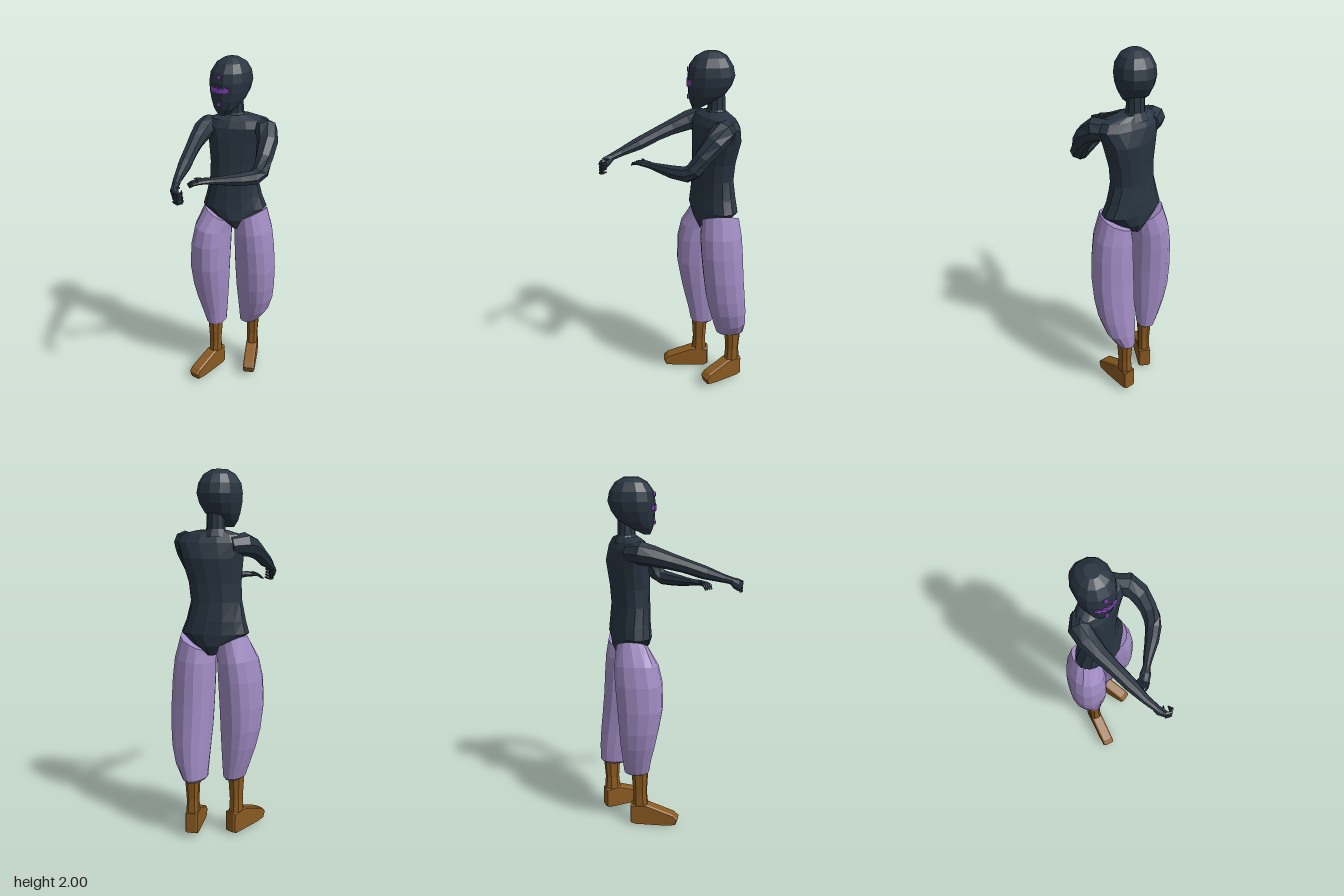
import * as THREE from 'three';

const mat = (name, color) => {
  const m = new THREE.MeshStandardMaterial({ color });
  m.name = name;
  return m;
};

// Skin a list of rings into a closed, faceted solid with capped ends
function loft(rings) {
  const n = rings[0].length, pos = [];
  const tri = (...p) => p.forEach((q) => pos.push(q.x, q.y, q.z));
  const middle = (r) => r.reduce((s, p) => s.add(p), new THREE.Vector3()).divideScalar(n);
  const first = rings[0], last = rings[rings.length - 1];
  const c0 = middle(first), c1 = middle(last);
  for (let j = 0; j < n; j++) {
    const k = (j + 1) % n;
    for (let i = 0; i < rings.length - 1; i++) {
      const a = rings[i], b = rings[i + 1];
      tri(a[j], a[k], b[k]);
      tri(a[j], b[k], b[j]);
    }
    tri(c0, first[k], first[j]);
    tri(c1, last[j], last[k]);
  }
  const g = new THREE.BufferGeometry();
  g.setAttribute('position', new THREE.Float32BufferAttribute(pos, 3));
  g.computeVertexNormals();
  return g;
}

// Level ring: a across, b front to back, turned by yaw degrees; tilt raises the +x side
function ring(y, cx, cz, a, b, { yaw = 0, n = 12, power = 1, tilt = 0 } = {}) {
  const w = THREE.MathUtils.degToRad(yaw), out = [];
  const bend = (v) => Math.sign(v) * Math.abs(v) ** power;
  for (let j = 0; j < n; j++) {
    const t = ((j + 0.5) / n) * Math.PI * 2;
    const u = a * bend(Math.sin(t)), f = b * bend(Math.cos(t));
    out.push(new THREE.Vector3(
      cx + u * Math.cos(w) + f * Math.sin(w),
      y + tilt * Math.sin(t),
      cz - u * Math.sin(w) + f * Math.cos(w)));
  }
  return out;
}

// Tapered limb along points [x, y, z, radius, flatness]
function limb(path, n = 8) {
  const pts = path.map((p) => new THREE.Vector3(p[0], p[1], p[2]));
  const up = new THREE.Vector3(0, 1, 0);
  return loft(path.map(([, , , r, flat = 1], i) => {
    const t = pts[Math.min(i + 1, pts.length - 1)].clone().sub(pts[Math.max(i - 1, 0)]).normalize();
    const u = up.clone().cross(t).normalize();
    const v = t.clone().cross(u);
    return Array.from({ length: n }, (_, j) => {
      const s = (j / n) * Math.PI * 2;
      return pts[i].clone().addScaledVector(u, r * Math.cos(s)).addScaledVector(v, r * flat * Math.sin(s));
    });
  }));
}

export function createModel() {
  const model = new THREE.Group();
  const suit = mat('dark suit', 0x283440);
  const cloth = mat('lilac cloth', 0xa18cc4);
  const leather = mat('brown leather', 0x8a5a20);
  const paint = mat('purple paint', 0x8b46c2);
  const add = (name, geometry, material, parent = model) => {
    const m = new THREE.Mesh(geometry, material);
    m.name = name;
    parent.add(m);
    return m;
  };

  // Torso, turned towards the model's left: y, cx, cz, half width, half depth, yaw
  add('torso', loft([
    [1.035, -0.015, -0.21, 0.03, 0.085, 30],
    [1.09, -0.02, -0.21, 0.11, 0.105, 30],
    [1.15, -0.03, -0.212, 0.185, 0.1, 30],
    [1.22, -0.035, -0.21, 0.16, 0.095, 33],
    [1.32, -0.035, -0.205, 0.137, 0.09, 38],
    [1.42, -0.03, -0.21, 0.14, 0.092, 38],
    [1.55, -0.02, -0.22, 0.165, 0.1, 35],
    [1.63, -0.01, -0.215, 0.185, 0.09, 28],
    [1.67, -0.01, -0.215, 0.16, 0.07, 28],
    [1.692, -0.025, -0.218, 0.08, 0.05, 28],
  ].map(([y, x, z, a, b, yaw]) => ring(y, x, z, a, b, { yaw, n: 14, power: 0.9 }))), suit);

  add('neck', loft([[1.66, 0.07], [1.7, 0.05], [1.8, 0.045]]
    .map(([y, r]) => ring(y, -0.045, -0.22, r, r, { n: 10 }))), suit);

  // Head, facing straight ahead: y, half width, front z, back z
  add('head', loft([
    [1.705, 0.025, -0.09, -0.13],
    [1.74, 0.058, -0.075, -0.2],
    [1.78, 0.08, -0.067, -0.265],
    [1.83, 0.097, -0.063, -0.3],
    [1.88, 0.104, -0.063, -0.316],
    [1.93, 0.098, -0.072, -0.305],
    [1.975, 0.074, -0.105, -0.275],
    [2.0, 0.035, -0.15, -0.23],
  ].map(([y, a, f, b]) => ring(y, -0.048, (f + b) / 2, a, (f - b) / 2, { power: 0.85 }))), suit);

  // Painted face marks: a ragged band and two dots
  const marks = new THREE.Group();
  marks.name = 'faceMarks';
  model.add(marks);
  for (let i = -4; i <= 4; i++) {
    const h = i % 2 ? 0.034 : 0.022;
    const bar = add('bandMark', new THREE.BoxGeometry(0.0135, h, 0.008), paint, marks);
    bar.position.set(-0.042 + i * 0.013, 1.842 + Math.abs(i) * 0.001, -0.063 - 0.0008 * i * i);
    bar.rotation.y = i * 0.09;
  }
  for (const [y, z] of [[1.912, -0.067], [1.768, -0.068]]) {
    const dot = add('dotMark', new THREE.CylinderGeometry(0.013, 0.013, 0.009, 8), paint, marks);
    dot.position.set(-0.042, y, z);
    dot.rotation.x = Math.PI / 2;
  }

  // Baggy trouser legs: y, low x, high x, front z, back z, tilt
  const trouser = (rows) => loft(rows.map(([y, x0, x1, f, b, tilt = 0]) =>
    ring(y, (x0 + x1) / 2, (f + b) / 2, (x1 - x0) / 2, (f - b) / 2, { n: 14, power: 0.88, tilt })));
  add('rightTrouser', trouser([
    [0.325, -0.165, -0.09, -0.115, -0.23],
    [0.34, -0.185, -0.08, -0.1, -0.245],
    [0.42, -0.212, -0.072, -0.085, -0.252],
    [0.52, -0.242, -0.063, -0.06, -0.26],
    [0.62, -0.262, -0.055, -0.038, -0.265],
    [0.75, -0.27, -0.05, -0.015, -0.272],
    [0.9, -0.265, -0.05, -0.018, -0.283],
    [1.0, -0.248, -0.053, -0.04, -0.287, -0.015],
    [1.1, -0.205, -0.045, -0.1, -0.275, -0.045],
  ]), cloth);
  add('leftTrouser', trouser([
    [0.325, -0.02, 0.06, -0.265, -0.395],
    [0.34, -0.033, 0.078, -0.245, -0.41],
    [0.42, -0.036, 0.135, -0.222, -0.415],
    [0.52, -0.036, 0.172, -0.195, -0.41],
    [0.62, -0.036, 0.19, -0.172, -0.4],
    [0.75, -0.035, 0.2, -0.155, -0.387],
    [0.9, -0.032, 0.195, -0.14, -0.377],
    [1.0, -0.03, 0.182, -0.135, -0.368, 0.015],
    [1.1, -0.02, 0.145, -0.142, -0.35, 0.045],
  ]), cloth);

  // Boots: a tapered shaft and a wedge foot
  const side = new THREE.Shape([
    [-0.05, 0.015], [-0.048, 0.12], [0.04, 0.125], [0.19, 0.068],
    [0.212, 0.045], [0.2, 0.012], [0.15, 0.005], [-0.03, 0.005],
  ].map(([z, y]) => new THREE.Vector2(z, y)));
  const footShape = new THREE.ExtrudeGeometry(side, {
    depth: 0.05, bevelEnabled: true, bevelThickness: 0.01, bevelSize: 0.006, bevelSegments: 1,
  });
  footShape.translate(0, 0, -0.025).rotateY(-Math.PI / 2);
  const shaft = loft([
    [0.09, 0.036, 0.05], [0.2, 0.034, 0.04], [0.37, 0.044, 0.052],
  ].map(([y, a, b]) => ring(y, 0, 0, a, b, { n: 8, power: 0.8 })));
  for (const [name, x, y, z, yaw, len] of [
    ['rightBoot', -0.13, 0, -0.155, -2, 1.03],
    ['leftBoot', 0.027, 0.02, -0.345, 28, 0.93],
  ]) {
    const boot = new THREE.Group();
    boot.name = name;
    boot.position.set(x, y, z);
    boot.rotation.y = THREE.MathUtils.degToRad(yaw);
    add('bootShaft', shaft, leather, boot);
    add('bootFoot', footShape, leather, boot).scale.z = len;
    model.add(boot);
  }

  // Right arm, stretched forwards across the body
  add('rightArm', limb([
    [-0.125, 1.615, -0.2, 0.05], [-0.16, 1.62, -0.13, 0.062], [-0.155, 1.605, -0.07, 0.056],
    [-0.13, 1.575, 0.02, 0.045], [-0.1, 1.546, 0.1, 0.039], [-0.062, 1.505, 0.2, 0.037],
    [-0.025, 1.468, 0.3, 0.024], [0, 1.45, 0.35, 0.02],
  ]), suit);
  add('rightPalm', limb([
    [-0.003, 1.452, 0.345, 0.019], [0.012, 1.432, 0.375, 0.022, 1.4],
    [0.035, 1.412, 0.398, 0.015, 2],
  ]), suit);
  for (let i = 0; i < 4; i++) {
    const y = 1.437 - i * 0.017;
    add('rightFinger', limb([
      [0.03, y, 0.4, 0.01], [0.06, y - 0.004, 0.407, 0.009],
      [0.073, y, 0.393, 0.008], [0.058 + i * 0.003, y + 0.004, 0.372, 0.004],
    ], 5), suit);
  }
  add('rightThumb', limb([
    [0.008, 1.445, 0.37, 0.01], [0.032, 1.448, 0.378, 0.009], [0.038, 1.45, 0.362, 0.004],
  ], 5), suit);

  // Left arm, bent at the elbow
  add('leftArm', limb([
    [0.1, 1.625, -0.265, 0.055], [0.155, 1.625, -0.235, 0.063], [0.195, 1.58, -0.19, 0.057],
    [0.217, 1.51, -0.13, 0.049], [0.224, 1.445, -0.085, 0.046], [0.21, 1.42, -0.045, 0.043],
    [0.165, 1.418, 0.02, 0.037], [0.105, 1.42, 0.09, 0.026], [0.07, 1.423, 0.135, 0.019],
  ]), suit);
  add('leftPalm', limb([
    [0.073, 1.423, 0.13, 0.019], [0.045, 1.427, 0.168, 0.029, 0.55], [0.02, 1.425, 0.2, 0.027, 0.45],
  ]), suit);
  for (let i = 0; i < 4; i++) {
    const s = (i - 1.5) * 0.013;
    add('leftFinger', limb([
      [0.026 + s * 0.7, 1.426, 0.195 + s * 0.75, 0.009],
      [0.002 + s * 0.9, 1.42, 0.217 + s * 0.8, 0.008],
      [-0.02 + s, 1.402, 0.225 + s * 0.8, 0.004],
    ], 5), suit);
  }
  add('leftThumb', limb([
    [0.04, 1.43, 0.165, 0.011], [0.01, 1.435, 0.178, 0.009], [-0.015, 1.432, 0.183, 0.004],
  ], 5), suit);

  return model;
}
